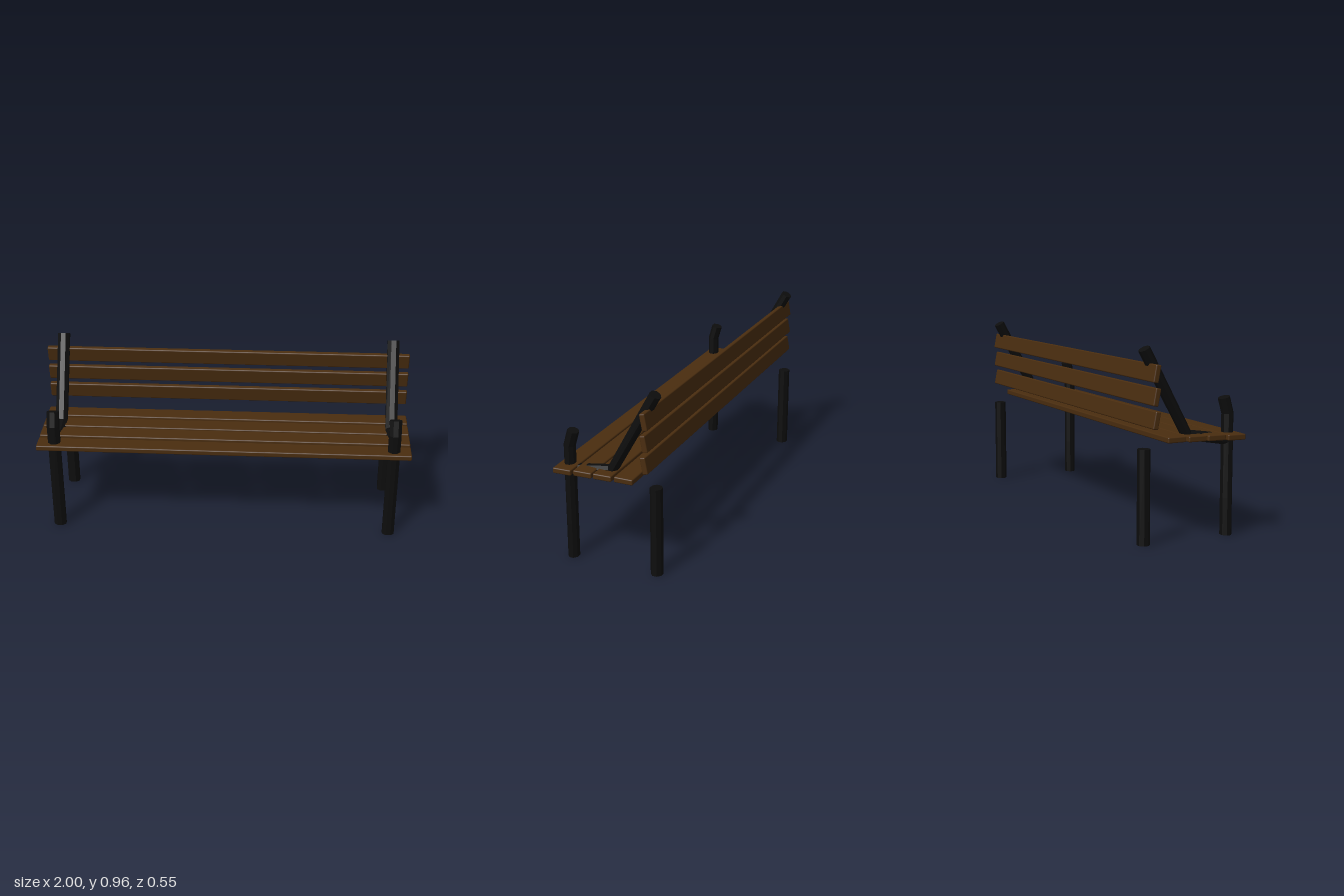
import * as THREE from 'three';
import { RoundedBoxGeometry } from 'three/addons/geometries/RoundedBoxGeometry.js';

const SIDES = 8;

// Eight-sided bar swept along [y, z] points; rx and rn are its half widths
function barGeometry(path, rx, rn) {
  const pts = path.map(([y, z]) => new THREE.Vector3(0, y, z));
  const xAxis = new THREE.Vector3(1, 0, 0);
  const k = 1 / Math.cos(Math.PI / SIDES);
  const pos = [], idx = [];
  pts.forEach((p, i) => {
    const t = new THREE.Vector3();
    if (i > 0) t.add(p.clone().sub(pts[i - 1]).normalize());
    if (i < pts.length - 1) t.add(pts[i + 1].clone().sub(p).normalize());
    const n = t.normalize().clone().cross(xAxis);
    for (let j = 0; j < SIDES; j++) {
      const a = ((j + 0.5) / SIDES) * Math.PI * 2;
      const v = p.clone().addScaledVector(xAxis, Math.cos(a) * rx * k)
        .addScaledVector(n, Math.sin(a) * rn * k);
      pos.push(v.x, v.y, v.z);
    }
  });
  for (let i = 0; i < pts.length - 1; i++) {
    for (let j = 0; j < SIDES; j++) {
      const a = i * SIDES + j, b = i * SIDES + (j + 1) % SIDES;
      idx.push(a, b, b + SIDES, a, b + SIDES, a + SIDES);
    }
  }
  // End caps
  const last = (pts.length - 1) * SIDES;
  for (let j = 1; j < SIDES - 1; j++) {
    idx.push(0, j + 1, j, last, last + j, last + j + 1);
  }
  const indexed = new THREE.BufferGeometry();
  indexed.setAttribute('position', new THREE.Float32BufferAttribute(pos, 3));
  indexed.setIndex(idx);
  const geo = indexed.toNonIndexed();
  geo.computeVertexNormals();
  return geo;
}

export function createModel() {
  const model = new THREE.Group();
  model.name = 'bench';
  const wood = new THREE.MeshStandardMaterial({ color: 0x4a2d0f });
  wood.name = 'brown wood';
  const iron = new THREE.MeshStandardMaterial({ color: 0x0d0d0d });
  iron.name = 'black iron';

  const add = (name, geo, mat, x, y, z, tilt = 0) => {
    const mesh = new THREE.Mesh(geo, mat);
    mesh.name = name;
    mesh.position.set(x, y, z);
    mesh.rotation.x = tilt;
    model.add(mesh);
  };

  // Iron frame, the same at both ends
  const frontPost = barGeometry([[0, 0.223], [0.19, 0.223], [0.612, 0.224], [0.69, 0.202]], 0.032, 0.027);
  const backSupport = barGeometry([[0.482, 0.215], [0.519, -0.008], [0.945, -0.244]], 0.032, 0.027);
  const backLeg = barGeometry([[0, -0.243], [0.468, -0.243]], 0.032, 0.029);
  for (const [side, x] of [['left', 0.908], ['right', -0.908]]) {
    add(side + 'FrontPost', frontPost, iron, x, 0, 0);
    add(side + 'BackSupport', backSupport, iron, x, 0, 0);
    add(side + 'BackLeg', backLeg, iron, x, 0, 0);
  }

  // Seat slats, front to back
  const seatSlat = new RoundedBoxGeometry(2, 0.029, 0.099, 2, 0.006);
  [[0.502, 0.224], [0.508, 0.111], [0.511, 0.003], [0.515, -0.111]].forEach(([y, z], i) =>
    add('seatSlat' + (i + 1), seatSlat, wood, 0, y, z, i < 3 ? 0.015 : 0));

  // Backrest slats, bottom to top
  const backSlat = new RoundedBoxGeometry(2, 0.086, 0.028, 2, 0.006);
  for (let i = 0; i < 3; i++) {
    add('backSlat' + (i + 1), backSlat, wood, 0, 0.613 + i * 0.1105, -0.221, 0.19);
  }
  return model;
}
